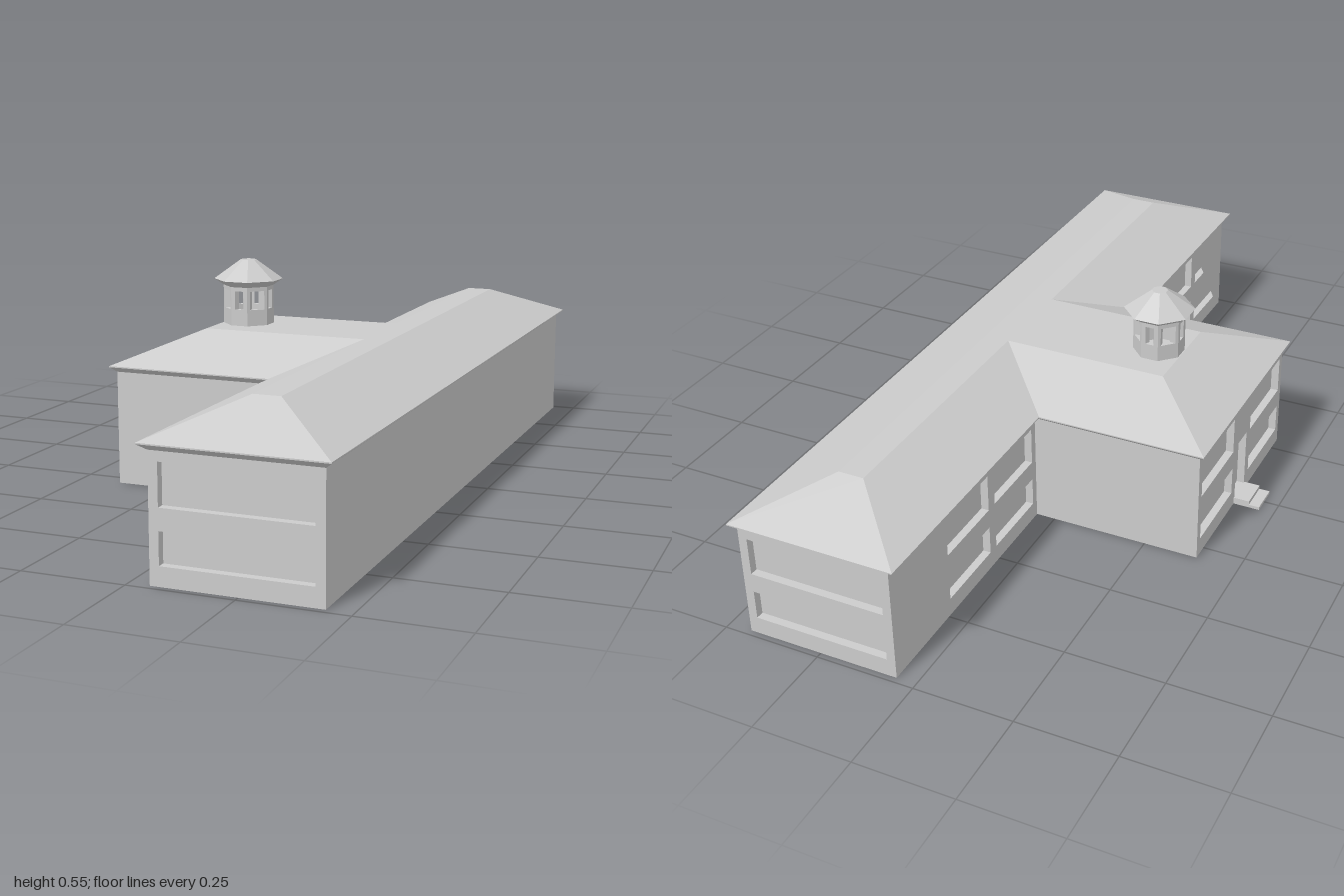
import * as THREE from 'three';

const material = new THREE.MeshStandardMaterial({ color: 0xcccccc, flatShading: true });
const RECESS = 0.02;

function mesh(name, geometry) {
  const m = new THREE.Mesh(geometry, material);
  m.name = name;
  return m;
}

// T-shaped plan as [x, z] corners: wing end, inner wall, outer wall, wing half-depth, main half-length
const tPlan = (x0, x1, x2, zw, zm) => [
  [x1, zm], [x2, zm], [x2, -zm], [x1, -zm], [x1, -zw], [x0, -zw], [x0, zw], [x1, zw],
];

// Octagon with half-width h and flat half-width c
const octagon = (h, c) => [
  [-c, h], [c, h], [h, c], [h, -c], [c, -h], [-c, -h], [-h, -c], [-h, c],
];

// Skin stacked rings { y, plan } and close the top
function loft(rings) {
  const pos = [];
  const n = rings[0].plan.length;
  const put = (ring, i) => pos.push(ring.plan[i % n][0], ring.y, ring.plan[i % n][1]);
  for (let r = 0; r < rings.length - 1; r++) {
    const lo = rings[r], hi = rings[r + 1];
    for (let i = 0; i < n; i++) {
      put(lo, i); put(lo, i + 1); put(hi, i + 1);
      put(lo, i); put(hi, i + 1); put(hi, i);
    }
  }
  const top = rings[rings.length - 1];
  const outline = top.plan.map(([x, z]) => new THREE.Vector2(x, -z));
  for (const tri of THREE.ShapeUtils.triangulateShape(outline, [])) tri.forEach((i) => put(top, i));
  const g = new THREE.BufferGeometry();
  g.setAttribute('position', new THREE.Float32BufferAttribute(pos, 3));
  g.computeVertexNormals();
  return g;
}

// Wall slab with rectangular openings [u0, v0, u1, v1]; its outer face lies at z = 0
function wallGeometry(width, height, openings, depth) {
  const rect = (path, u0, v0, u1, v1) =>
    path.moveTo(u0, v0).lineTo(u1, v0).lineTo(u1, v1).lineTo(u0, v1).closePath();
  const shape = rect(new THREE.Shape(), -width / 2, 0, width / 2, height);
  for (const o of openings) shape.holes.push(rect(new THREE.Path(), ...o));
  return new THREE.ExtrudeGeometry(shape, { depth, bevelEnabled: false }).translate(0, 0, -depth);
}

// Two storeys of windows for each [u0, u1] span
const storeys = (spans) => spans.flatMap(([a, b]) => [[a, 0.045, b, 0.12], [a, 0.17, b, 0.267]]);

function box(name, x0, x1, h, zHalf) {
  const g = new THREE.BoxGeometry(x1 - x0, h, zHalf * 2);
  return mesh(name, g.translate((x0 + x1) / 2, h / 2, 0));
}

function createCupola() {
  const cupola = new THREE.Group();
  cupola.name = 'cupola';
  const h = 0.0615, c = 0.0225, depth = 0.012, height = 0.102;
  const diagonal = (h - c) * Math.SQRT2;
  for (let i = 0; i < 8; i++) {
    const slanted = i % 2 === 1;
    const width = slanted ? diagonal : 2 * c;
    const half = slanted ? 0.02 : 0.0115;
    const g = wallGeometry(width, height, [[-half, 0.042, half, 0.09]], depth);
    // Splay the window reveals and mitre the inner edges
    const p = g.attributes.position;
    for (let k = 0; k < p.count; k++) {
      if (p.getZ(k) > -depth / 2) continue;
      const x = p.getX(k);
      p.setX(k, Math.abs(x) < half + 1e-4 ? x * 0.5 : x * 0.8);
    }
    g.computeVertexNormals();
    const panel = mesh('cupolaWall', g);
    const angle = (i * Math.PI) / 4;
    const dist = slanted ? (h + c) / Math.SQRT2 : h;
    panel.position.set(Math.sin(angle) * dist, 0, Math.cos(angle) * dist);
    panel.rotation.y = angle;
    cupola.add(panel);
  }
  // Roof with a sloped soffit and a small flat top
  cupola.add(mesh('cupolaRoof', loft([
    { y: 0.1, plan: octagon(0.04, 0.0146) },
    { y: 0.1005, plan: octagon(h, c) },
    { y: 0.117, plan: octagon(0.0835, 0.0325) },
    { y: 0.167, plan: octagon(0.019, 0.0075) },
  ])));
  // Ceiling seen through the windows
  const ceiling = new THREE.CircleGeometry(0.055, 8).rotateX(Math.PI / 2).translate(0, 0.1, 0);
  cupola.add(mesh('cupolaCeiling', ceiling));
  cupola.position.set(-0.156, 0.385, 0);
  return cupola;
}

export function createModel() {
  const model = new THREE.Group();
  model.name = 'building';
  const WALL = 0.29;

  // Solid core, set back behind the windowed walls
  const corePlan = tPlan(-0.39 + RECESS, 0.05 + RECESS, 0.44, 0.295, 0.985 - RECESS);
  const coreShape = new THREE.Shape(corePlan.map(([x, z]) => new THREE.Vector2(x, -z)));
  const core = new THREE.ExtrudeGeometry(coreShape, { depth: WALL, bevelEnabled: false });
  model.add(mesh('core', core.rotateX(-Math.PI / 2)));

  const addWall = (name, width, openings, x, z, angle) => {
    const wall = mesh(name, wallGeometry(width, WALL, openings, RECESS));
    wall.position.set(x, 0, z);
    wall.rotation.y = angle;
    model.add(wall);
  };

  for (const side of [1, -1]) {
    // End walls of the long block
    addWall('endWall', 0.39, storeys([[-0.173, 0.173]]), 0.245, side * 0.985, side > 0 ? 0 : Math.PI);
    // Long facades either side of the entrance wing
    const mid = (0.295 + 0.985 - RECESS) / 2;
    const spans = [0, 1, 2].map((i) => {
      const a = 0.315 + i * 0.227, b = a + 0.197;
      return side > 0 ? [a - mid, b - mid] : [mid - b, mid - a];
    });
    addWall('facadeWall', 0.69 - RECESS, storeys(spans), 0.05, side * mid, -Math.PI / 2);
  }

  // Entrance wall with a doorway
  const entrance = [...storeys([[-0.275, -0.06], [0.06, 0.275]]), [-0.035, 0.018, 0.035, 0.175]];
  addWall('entranceWall', 0.59, entrance, -0.39, 0, -Math.PI / 2);

  // Hipped roof with flat ridge and sloped soffit
  model.add(mesh('roof', loft([
    { y: WALL, plan: tPlan(-0.39, 0.05, 0.44, 0.295, 0.985) },
    { y: 0.303, plan: tPlan(-0.405, 0.03, 0.457, 0.31, 1) },
    { y: 0.306, plan: tPlan(-0.405, 0.03, 0.457, 0.31, 1) },
    { y: 0.385, plan: tPlan(-0.22, 0.21, 0.275, 0.125, 0.815) },
  ])));

  // Entrance steps
  model.add(box('lowerStep', -0.46, -0.39, 0.008, 0.04));
  model.add(box('upperStep', -0.432, -0.39, 0.018, 0.04));

  model.add(createCupola());
  return model;
}
